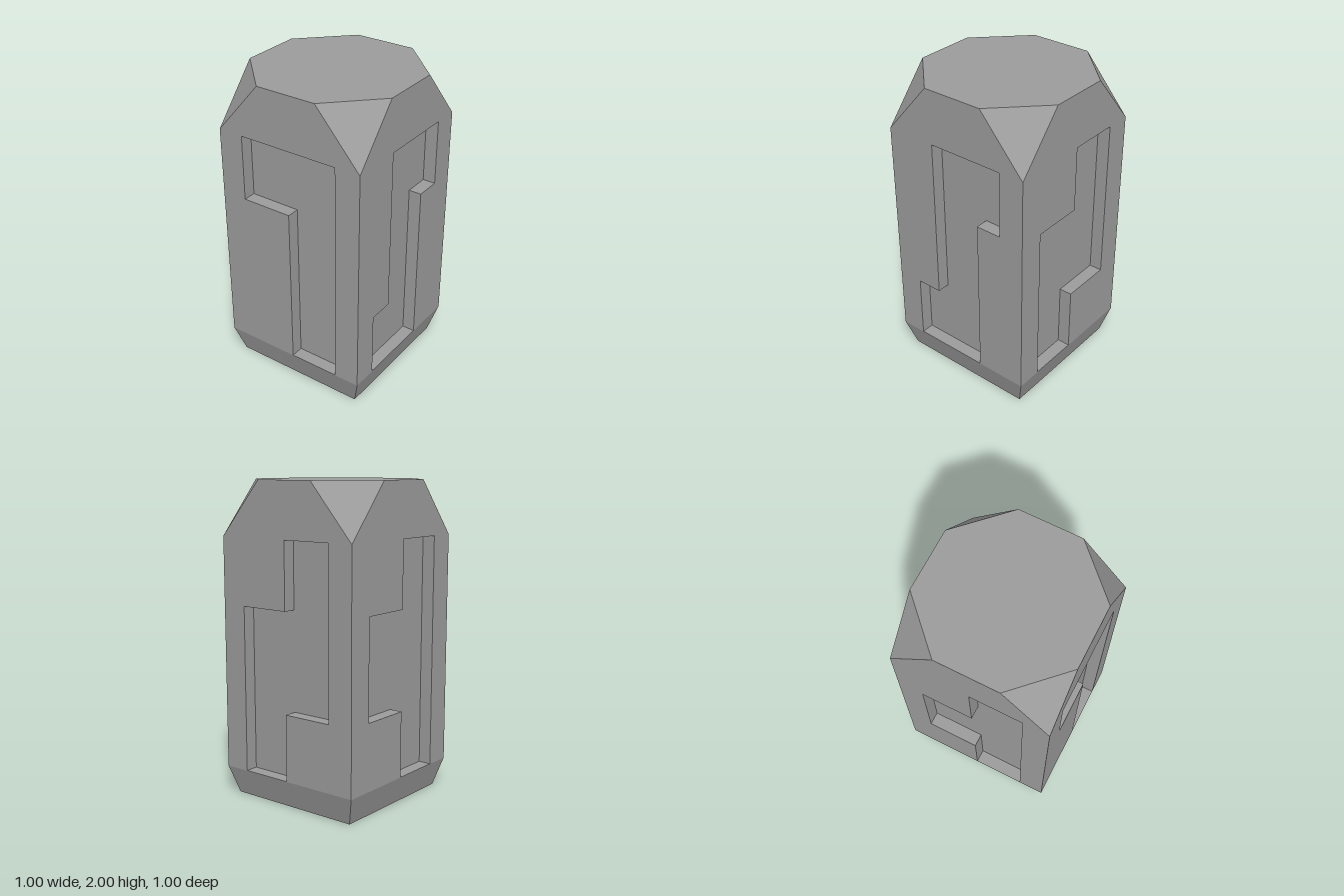
import * as THREE from 'three';

const H = 0.5, TOP = 2, SHOULDER = 1.655, SKIRT = 0.178, CHAMFER = 0.2, FOOT = 0.448;
const DEPTH = 0.083;

// Recess levels and columns
const [Y0, Y1, Y2, Y3] = [0.18, 0.601, 1.232, 1.654];
const A = 1 / 6, B = 1 / 3;

// Counter-clockwise recess outlines, each seen from outside its own face
const recesses = {
  front: [[-B, Y0], [A, Y0], [A, Y2], [B, Y2], [B, Y3], [-A, Y3], [-A, Y1], [-B, Y1]],
  left: [[-B, Y0], [0, Y0], [0, Y1], [B, Y1], [B, Y3], [0, Y3], [0, Y2], [-B, Y2]],
  back: [[0, Y0], [B, Y0], [B, Y3], [0, Y3], [0, Y2], [-B, Y2], [-B, Y1], [0, Y1]],
  right: [[0, Y0], [B, Y0], [B, Y3], [-B, Y3], [-B, Y2], [0, Y2]],
};

const toVectors = (pts) => pts.map(([x, y]) => new THREE.Vector2(x, y));

// Flat triangles from a list of points
function triangles(points) {
  const g = new THREE.BufferGeometry();
  g.setAttribute('position', new THREE.Float32BufferAttribute(points.flat(), 3));
  g.computeVertexNormals();
  return g;
}

// Inward-facing walls around a recess outline
function recessWalls(outline) {
  const pts = [];
  outline.forEach(([ax, ay], i) => {
    const [bx, by] = outline[(i + 1) % outline.length];
    const a = [ax, ay, H], b = [bx, by, H];
    const c = [bx, by, H - DEPTH], d = [ax, ay, H - DEPTH];
    pts.push(a, b, c, a, c, d);
  });
  return triangles(pts);
}

export function createModel() {
  const model = new THREE.Group();
  model.name = 'carvedBlock';
  const material = new THREE.MeshStandardMaterial({ color: 0x9c9c9c, flatShading: true });
  const add = (parent, name, geometry) => {
    const mesh = new THREE.Mesh(geometry, material);
    mesh.name = name;
    parent.add(mesh);
  };

  // Four sides, each with a carved recess and one chamfered upper corner
  Object.entries(recesses).forEach(([name, outline], i) => {
    const side = new THREE.Group();
    side.name = name + 'Side';
    side.rotation.y = i * Math.PI / 2;
    model.add(side);

    const face = new THREE.Shape(toVectors([
      [-H, SKIRT], [H, SKIRT], [H, SHOULDER], [CHAMFER, TOP], [-CHAMFER, TOP], [-H, SHOULDER],
    ]));
    face.holes.push(new THREE.Path(toVectors(outline)));
    add(side, name + 'Face', new THREE.ShapeGeometry(face).translate(0, 0, H));
    add(side, name + 'RecessFloor',
      new THREE.ShapeGeometry(new THREE.Shape(toVectors(outline))).translate(0, 0, H - DEPTH));
    add(side, name + 'RecessWalls', recessWalls(outline));
    add(side, name + 'CornerChamfer',
      triangles([[H, SHOULDER, H], [H, TOP, CHAMFER], [CHAMFER, TOP, H]]));
  });

  // Octagonal top
  const octagon = new THREE.Shape(toVectors([
    [-CHAMFER, -H], [CHAMFER, -H], [H, -CHAMFER], [H, CHAMFER],
    [CHAMFER, H], [-CHAMFER, H], [-H, CHAMFER], [-H, -CHAMFER],
  ]));
  add(model, 'topFace', new THREE.ShapeGeometry(octagon).rotateX(-Math.PI / 2).translate(0, TOP, 0));

  // Tapered foot and underside
  add(model, 'taperedFoot',
    new THREE.CylinderGeometry(H * Math.SQRT2, FOOT * Math.SQRT2, SKIRT, 4, 1, true)
      .rotateY(Math.PI / 4).translate(0, SKIRT / 2, 0));
  add(model, 'underside', new THREE.PlaneGeometry(2 * FOOT, 2 * FOOT).rotateX(Math.PI / 2));

  return model;
}
